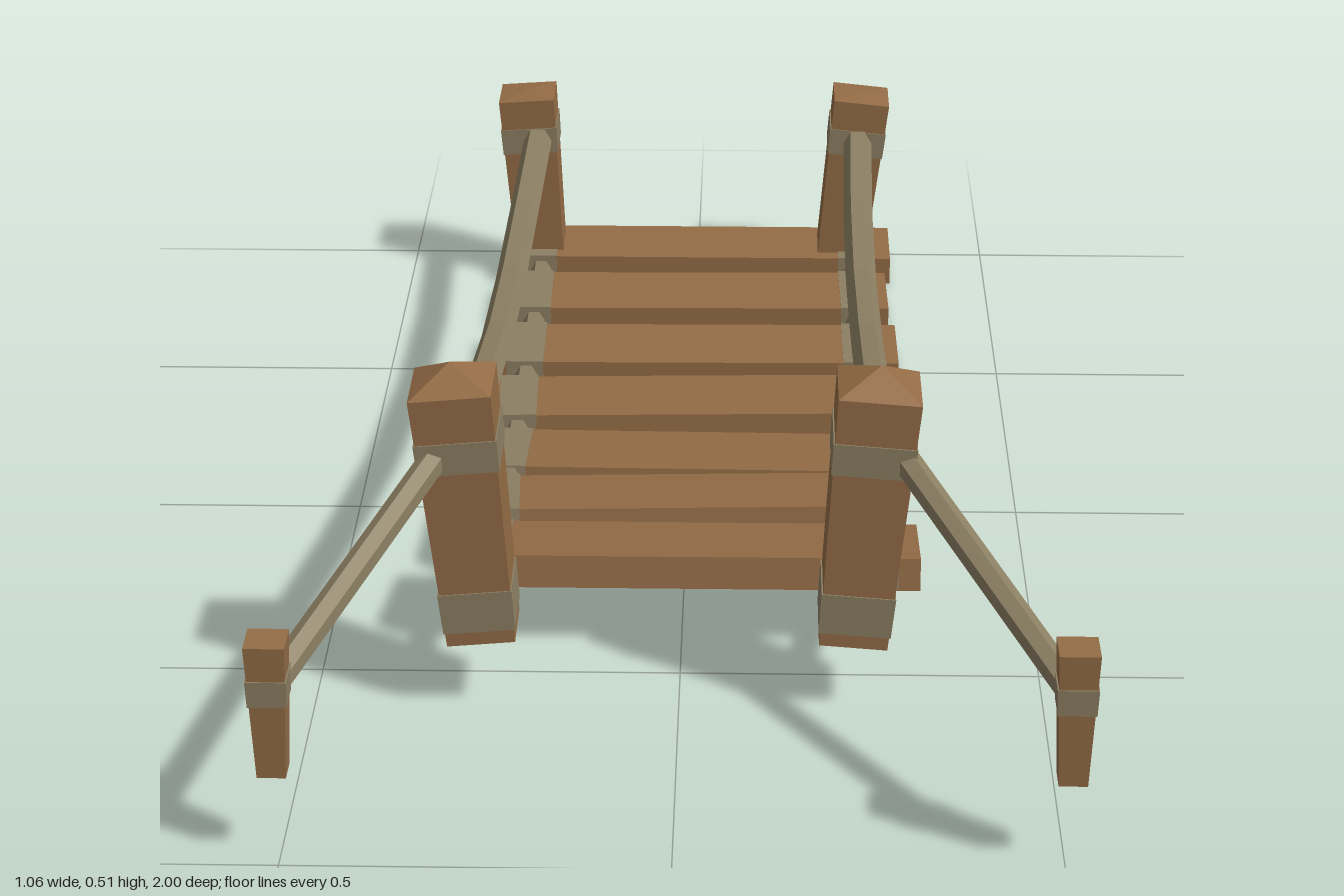
import * as THREE from 'three';

const wood = new THREE.MeshStandardMaterial({ color: 0x946c46 });
wood.name = 'wood';
const ropeMat = new THREE.MeshStandardMaterial({ color: 0x8c7f63 });
ropeMat.name = 'rope';

// Faceted mesh: split the vertices so every face gets its own normal
function mesh(name, geometry, material) {
  const g = geometry.index ? geometry.toNonIndexed() : geometry;
  g.computeVertexNormals();
  const m = new THREE.Mesh(g, material);
  m.name = name;
  return m;
}

// Square tapered block standing on y = 0
function block(name, w0, w1, h, material) {
  const g = new THREE.CylinderGeometry(w1 / Math.SQRT2, w0 / Math.SQRT2, h, 4, 1);
  g.rotateY(Math.PI / 4);
  g.translate(0, h / 2, 0);
  return mesh(name, g, material);
}

// Tapered post with a pointed cap and thin lashings, leaning from base to top
function post(name, base, top, w0, w1, cap, bands) {
  const group = new THREE.Group();
  group.name = name;
  const a = new THREE.Vector3(...base);
  const dir = new THREE.Vector3(...top).sub(a);
  const h = dir.length();
  group.add(block(name + 'Shaft', w0, w1, h, wood));
  if (cap) {
    const point = block(name + 'Cap', w1, 0.0005, cap, wood);
    point.position.y = h;
    group.add(point);
  }
  for (const [y0, y1] of bands) {
    const w = (y) => w0 + (w1 - w0) * y / h + 0.004;
    const band = block(name + 'Lashing', w(y0), w(y1), y1 - y0, ropeMat);
    band.position.y = y0;
    group.add(band);
  }
  group.position.copy(a);
  group.rotation.z = -Math.atan2(dir.x, dir.y);
  return group;
}

// Six-sided rope through a few points
function rope(name, points, radius, segments) {
  const curve = new THREE.CatmullRomCurve3(points.map((p) => new THREE.Vector3(...p)));
  return mesh(name, new THREE.TubeGeometry(curve, segments, radius, 6), ropeMat);
}

export function createModel() {
  const model = new THREE.Group();
  model.name = 'ropeBridge';

  // Planks: x centre, y, z, width, depth, yaw, pitch
  const planks = [
    [0, 0.116, 0.357, 0.67, 0.155, 0, -0.16],
    [-0.002, 0.081, 0.135, 0.645, 0.155, 0.055, -0.14],
    [-0.005, 0.046, -0.073, 0.62, 0.155, -0.016, -0.08],
    [-0.005, 0.035, -0.296, 0.64, 0.155, 0.035, -0.03],
    [0, 0.029, -0.508, 0.67, 0.152, 0.01, 0],
    [0, 0.029, -0.727, 0.65, 0.152, 0.015, 0],
    [0, 0.033, -0.93, 0.67, 0.14, 0, 0],
  ];
  for (const [x, y, z, w, d, yaw, pitch] of planks) {
    const plank = new THREE.Group();
    plank.name = 'plank';
    plank.add(mesh('plankBoard', new THREE.BoxGeometry(w, 0.047, d), wood));
    for (const s of [-1, 1]) {
      const wrap = mesh('plankLashing', new THREE.BoxGeometry(0.06, 0.046, d + 0.004), ropeMat);
      wrap.position.set(s * 0.275 - x, 0.0025, 0);
      plank.add(wrap);
    }
    plank.position.set(x, y, z);
    plank.rotation.set(pitch, yaw, 0);
    model.add(plank);
  }

  // Posts, stakes and ropes on each side
  const sides = [
    { n: 'right', s: -1, base: -0.268, top: -0.301, back0: -0.275, back1: -0.294, rail: -0.285, guy: -0.322 },
    { n: 'left', s: 1, base: 0.237, top: 0.266, back0: 0.25, back1: 0.281, rail: 0.268, guy: 0.302 },
  ];
  for (const { n, s, base, top, back0, back1, rail, guy } of sides) {
    model.add(post(n + 'FrontPost', [base, 0.11, 0.563], [top, 0.481, 0.563], 0.093, 0.111, 0.03,
      [[0.02, 0.08], [0.262, 0.308]]));
    model.add(post(n + 'BackPost', [back0, 0.045, -0.928], [back1, 0.335, -0.928], 0.082, 0.094, 0.005,
      [[0.195, 0.24]]));
    model.add(post(n + 'Stake', [s * 0.504, 0.13, 0.974], [s * 0.504, 0.32, 0.974], 0.037, 0.052, 0,
      [[0.105, 0.142]]));

    // Sagging handrail
    model.add(rope(n + 'Handrail', [
      [rail, 0.405, 0.54], [rail, 0.297, 0.055], [rail, 0.258, -0.22],
      [rail, 0.238, -0.5], [s * 0.275, 0.265, -0.9],
    ], 0.024, 5));

    // Rope carrying the planks
    model.add(rope(n + 'DeckRope', [
      [s * 0.272, 0.147, 0.52], [s * 0.272, 0.1, 0.25], [s * 0.272, 0.062, 0.03],
      [s * 0.272, 0.04, -0.18], [s * 0.272, 0.03, -0.5], [s * 0.272, 0.033, -0.93],
    ], 0.018, 8));

    // Guy rope to the stake
    model.add(rope(n + 'GuyRope', [[guy, 0.39, 0.6], [s * 0.5, 0.25, 0.965]], 0.019, 1));
  }
  return model;
}
